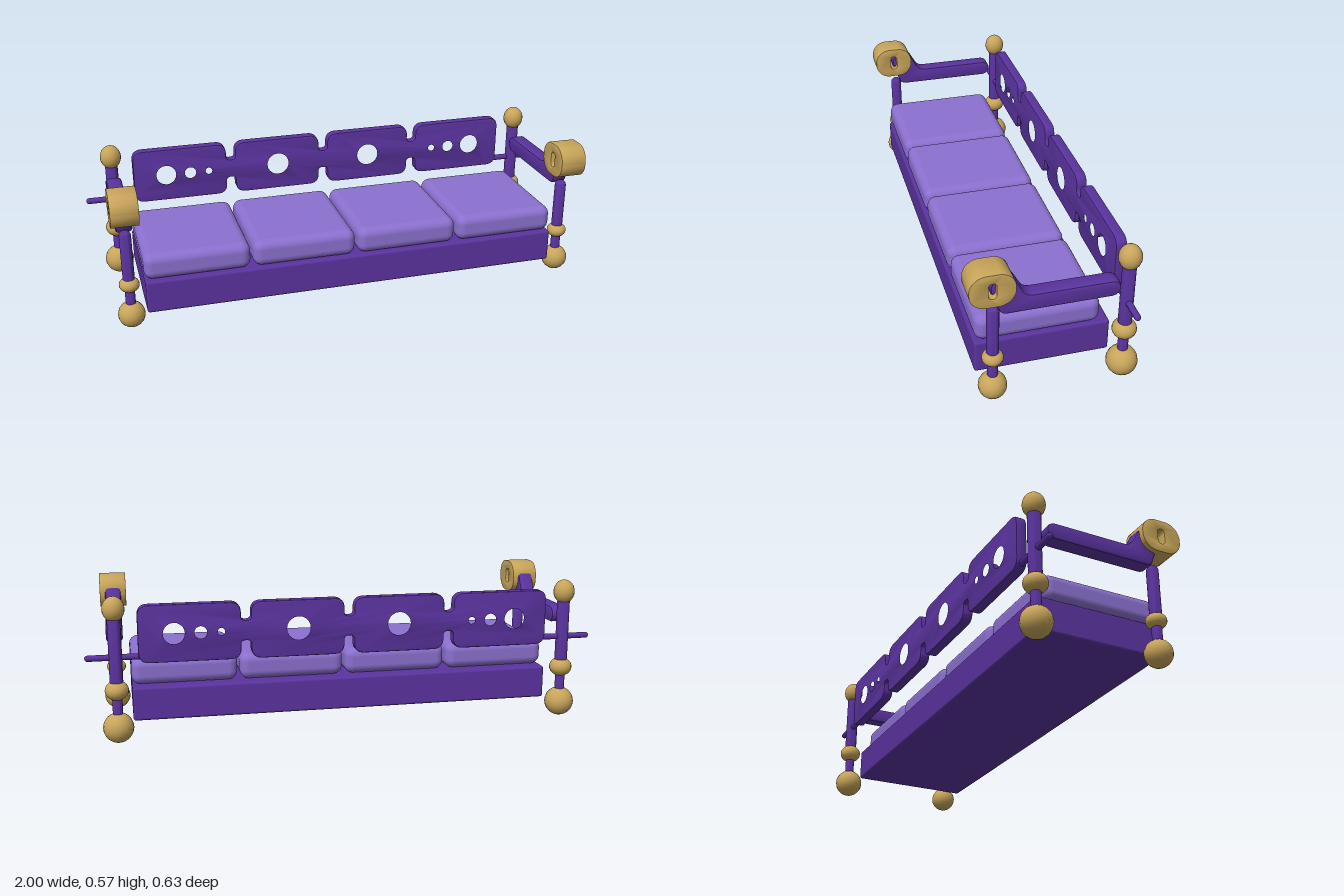
import * as THREE from 'three';
import { toCreasedNormals } from 'three/addons/utils/BufferGeometryUtils.js';
import { RoundedBoxGeometry } from 'three/addons/geometries/RoundedBoxGeometry.js';

const material = (name, color) => {
  const m = new THREE.MeshStandardMaterial({ color });
  m.name = name;
  return m;
};

export function createModel() {
  const purple = material('purple frame', 0x5a339f);
  const lilac = material('lilac cushion', 0x8b70cf);
  const gold = material('gold', 0xc8a55a);
  const model = new THREE.Group();
  model.name = 'bench';

  const add = (name, geometry, mat, x, y, z, parent = model) => {
    const mesh = new THREE.Mesh(geometry, mat);
    mesh.name = name;
    mesh.position.set(x, y, z);
    parent.add(mesh);
    return mesh;
  };
  // Extrusion centred on its depth, with a small bevel that stays inside the outline
  const extrude = (shape, depth, bevel) => {
    const g = new THREE.ExtrudeGeometry(shape, {
      depth: depth - 2 * bevel, bevelEnabled: true, bevelThickness: bevel,
      bevelSize: bevel, bevelOffset: -bevel, bevelSegments: 2, curveSegments: 10,
    });
    g.translate(0, 0, bevel - depth / 2);
    return toCreasedNormals(g, 0.6);
  };

  // Base and four seat cushions
  add('seatBase', new RoundedBoxGeometry(1.66, 0.13, 0.5, 3, 0.01), purple, 0, 0.135, 0.025);
  for (let i = 0; i < 4; i++) {
    add('seatCushion', new RoundedBoxGeometry(0.408, 0.105, 0.46, 4, 0.035), lilac,
      (i - 1.5) * 0.418, 0.252, 0.04);
  }

  // Backrest: four rounded panels joined by narrow necks
  const panels = [[-0.803, -0.418], [-0.38, -0.019], [0.019, 0.38], [0.418, 0.803]];
  const top = 0.528, bottom = 0.308, neckTop = 0.457, neckBottom = 0.379, r = 0.042;
  const back = new THREE.Shape();
  back.moveTo(panels[0][0], top - r);
  const trace = (list, edge, neck, s) => {
    // s is +1 along the top (left to right) and -1 along the bottom (right to left)
    list.forEach(([a, b], i) => {
      back.quadraticCurveTo(a, edge, a + s * r, edge);
      back.lineTo(b - s * r, edge);
      back.quadraticCurveTo(b, edge, b, edge - s * r);
      if (i < 3) {
        const next = list[i + 1][0], mid = (b + next) / 2;
        back.lineTo(b, neck + s * 0.015);
        back.quadraticCurveTo(b, neck, mid, neck);
        back.quadraticCurveTo(next, neck, next, neck + s * 0.015);
        back.lineTo(next, edge - s * r);
      }
    });
  };
  trace(panels, top, neckTop, 1);
  back.lineTo(panels[3][1], bottom + r);
  trace(panels.map(([a, b]) => [b, a]).reverse(), bottom, neckBottom, -1);
  back.closePath();
  for (const s of [-1, 1]) {
    for (const [x, radius] of [[0.67, 0.047], [0.57, 0.03], [0.493, 0.02], [0.198, 0.052]]) {
      const hole = new THREE.Path();
      hole.absarc(s * x, 0.418, radius, 0, Math.PI * 2, true);
      back.holes.push(hole);
    }
  }
  add('backrest', extrude(back, 0.042, 0.006), purple, 0, 0, -0.26);

  // Arm profile, drawn as (z, y)
  const arm = new THREE.Shape();
  arm.moveTo(-0.19, 0.38);
  arm.lineTo(0.185, 0.38);
  arm.quadraticCurveTo(0.202, 0.382, 0.21, 0.4);
  arm.lineTo(0.236, 0.47);
  arm.bezierCurveTo(0.245, 0.5, 0.235, 0.533, 0.2, 0.535);
  arm.quadraticCurveTo(0.167, 0.537, 0.152, 0.512);
  arm.lineTo(0.126, 0.466);
  arm.quadraticCurveTo(0.112, 0.445, 0.088, 0.445);
  arm.lineTo(-0.19, 0.445);
  arm.absarc(-0.19, 0.4125, 0.0325, Math.PI / 2, Math.PI * 1.5, false);
  const armGeometry = extrude(arm, 0.062, 0.01).rotateY(-Math.PI / 2);

  // Rounded block with an upright slot, at the front of each arm
  const pill = (path, w, h, rad, clockwise) => {
    const x = w / 2 - rad, y = h / 2 - rad, q = Math.PI / 2;
    const corners = [[x, y], [-x, y], [-x, -y], [x, -y]].map((c, i) => [...c, i * q]);
    if (clockwise) corners.reverse();
    corners.forEach(([cx, cy, a]) =>
      path.absarc(cx, cy, rad, clockwise ? a + q : a, clockwise ? a : a + q, clockwise));
    path.closePath();
    return path;
  };
  const block = pill(new THREE.Shape(), 0.161, 0.131, 0.06, false);
  block.holes.push(pill(new THREE.Path(), 0.029, 0.062, 0.0142, true));
  const blockGeometry = extrude(block, 0.104, 0.001).rotateY(-Math.PI / 2);

  const ball = (name, rx, ry, y, z, parent) =>
    add(name, new THREE.SphereGeometry(1, 18, 12).scale(rx, ry, rx), gold, 0, y, z, parent);
  // Upright turned post with rounded ends
  const post = (name, radius, y0, y1, round, z, parent) => {
    const points = [new THREE.Vector2(0, y0), new THREE.Vector2(radius, y0)];
    for (let i = 0; i <= 5; i++) {
      const a = (i / 5) * Math.PI / 2;
      points.push(new THREE.Vector2(
        Math.max(0, radius - round + round * Math.cos(a)), y1 - round + round * Math.sin(a)));
    }
    points.push(new THREE.Vector2(0, y1));
    add(name, toCreasedNormals(new THREE.LatheGeometry(points, 20), 0.7), purple, 0, 0, z, parent);
  };

  // Posts, arms and side rods, mirrored left and right
  for (const s of [1, -1]) {
    const side = new THREE.Group();
    side.name = s > 0 ? 'leftSide' : 'rightSide';
    side.position.x = s * 0.887;
    model.add(side);

    const bz = -0.257, fz = 0.224;
    ball('backFoot', 0.058, 0.058, 0.06, bz, side);
    post('backLeg', 0.019, 0.09, 0.2, 0.002, bz, side);
    ball('backCollar', 0.045, 0.038, 0.205, bz, side);
    post('backPost', 0.025, 0.225, 0.485, 0.012, bz, side);
    ball('backFinial', 0.042, 0.048, 0.515, bz, side);

    ball('frontFoot', 0.052, 0.052, 0.052, fz, side);
    post('frontLeg', 0.019, 0.09, 0.17, 0.002, fz, side);
    ball('frontCollar', 0.039, 0.03, 0.178, fz, side);
    post('frontPost', 0.0225, 0.19, 0.402, 0.0215, fz, side);

    add('arm', armGeometry, purple, 0, 0, 0, side);
    add('armEndBlock', blockGeometry, gold, 0, 0.502, 0.2375, side);

    const rod = new THREE.CapsuleGeometry(0.012, 0.196, 4, 12).rotateZ(Math.PI / 2);
    add('sideRod', rod, purple, s * 0.003, 0.332, bz, side);
  }
  return model;
}
